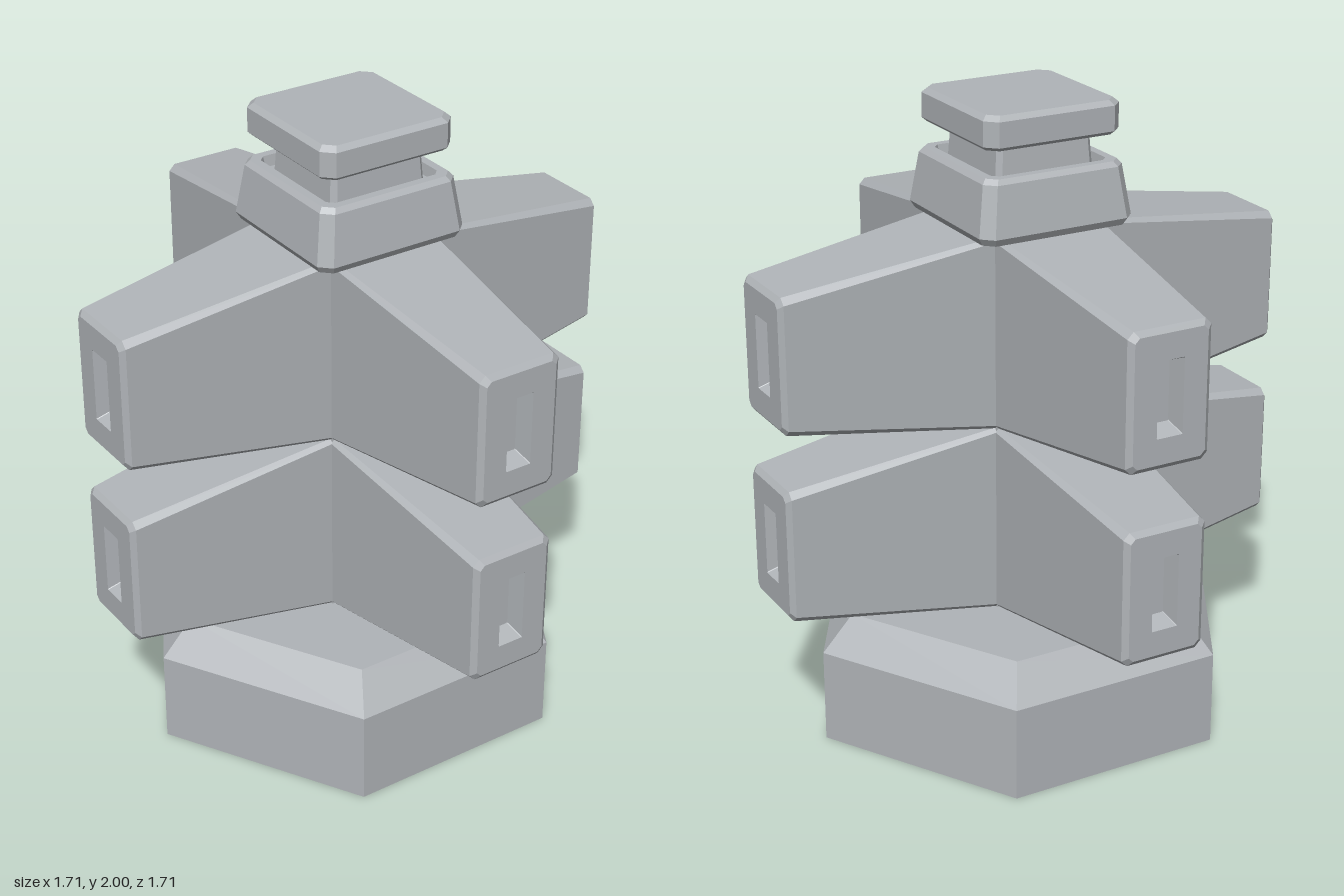
import * as THREE from 'three';

const stone = new THREE.MeshStandardMaterial({ name: 'grey stone', color: 0xb0b4b8 });

function flatMesh(geometry, name) {
  const g = geometry.index ? geometry.toNonIndexed() : geometry;
  g.computeVertexNormals();
  const mesh = new THREE.Mesh(g, stone);
  mesh.name = name;
  return mesh;
}

// Lofts corner-cut rectangles along +z; each ring is [z, halfWidth, halfHeight, cornerCut].
function loft(rings) {
  const loops = rings.map(([z, w, h, c]) => [
    [w, -h + c, z], [w, h - c, z], [w - c, h, z], [-w + c, h, z],
    [-w, h - c, z], [-w, -h + c, z], [-w + c, -h, z], [w - c, -h, z],
  ]);
  const pos = [];
  const tri = (a, b, c) => pos.push(...a, ...b, ...c);
  for (let r = 0; r < loops.length - 1; r++) {
    for (let i = 0; i < 8; i++) {
      const j = (i + 1) % 8;
      const a = loops[r][i], b = loops[r][j], c = loops[r + 1][j], d = loops[r + 1][i];
      tri(a, b, c);
      tri(a, c, d);
    }
  }
  const first = loops[0], last = loops[loops.length - 1];
  for (let i = 1; i < 7; i++) {
    tri(first[0], first[i + 1], first[i]);
    tri(last[0], last[i], last[i + 1]);
  }
  const g = new THREE.BufferGeometry();
  g.setAttribute('position', new THREE.Float32BufferAttribute(pos, 3));
  return g;
}

// Square block standing upright; rings are [y, halfWidth, cornerCut].
const upright = (rings) => loft(rings.map(([y, w, c]) => [y, w, w, c])).rotateX(-Math.PI / 2);

export function createModel() {
  const model = new THREE.Group();
  model.name = 'tower';

  // Hexagonal base with a bevelled top
  const profile = [[0, 0], [0.7, 0], [0.7, 0.302], [0.597, 0.412], [0, 0.412]]
    .map(([x, y]) => new THREE.Vector2(x, y));
  model.add(flatMesh(new THREE.LatheGeometry(profile, 6).rotateY(Math.PI / 2), 'base'));

  // Two tiers of four tapering arms, each with a slot sunk into its end
  const armRings = [
    [0.18, 0.186, 0.304, 0.012],
    [0.842, 0.137, 0.213, 0.02],
    [0.856, 0.12, 0.196, 0.015],
    [0.856, 0.043, 0.116, 0.002],
    [0.8, 0.03, 0.092, 0.002],
  ];
  [['lower', 0.717], ['upper', 1.322]].forEach(([label, y]) => {
    const tier = new THREE.Group();
    tier.name = label + 'Tier';
    tier.position.y = y;
    tier.add(flatMesh(new THREE.BoxGeometry(0.365, 0.606, 0.365), 'core'));
    ['front', 'left', 'back', 'right'].forEach((side, k) => {
      const arm = flatMesh(loft(armRings), side + 'Arm');
      arm.rotation.y = k * Math.PI / 2;
      tier.add(arm);
    });
    model.add(tier);
  });

  // Collar with a shallow well, neck and cap
  model.add(flatMesh(upright([
    [1.622, 0.245, 0.03], [1.645, 0.258, 0.035], [1.8, 0.235, 0.032],
    [1.815, 0.222, 0.028], [1.815, 0.195, 0.02], [1.78, 0.19, 0.02],
  ]), 'collar'));
  model.add(flatMesh(upright([[1.7, 0.17, 0.015], [1.91, 0.156, 0.015]]), 'neck'));
  model.add(flatMesh(upright([
    [1.896, 0.215, 0.03], [1.908, 0.228, 0.035], [1.985, 0.228, 0.035], [2, 0.212, 0.03],
  ]), 'cap'));

  return model;
}
